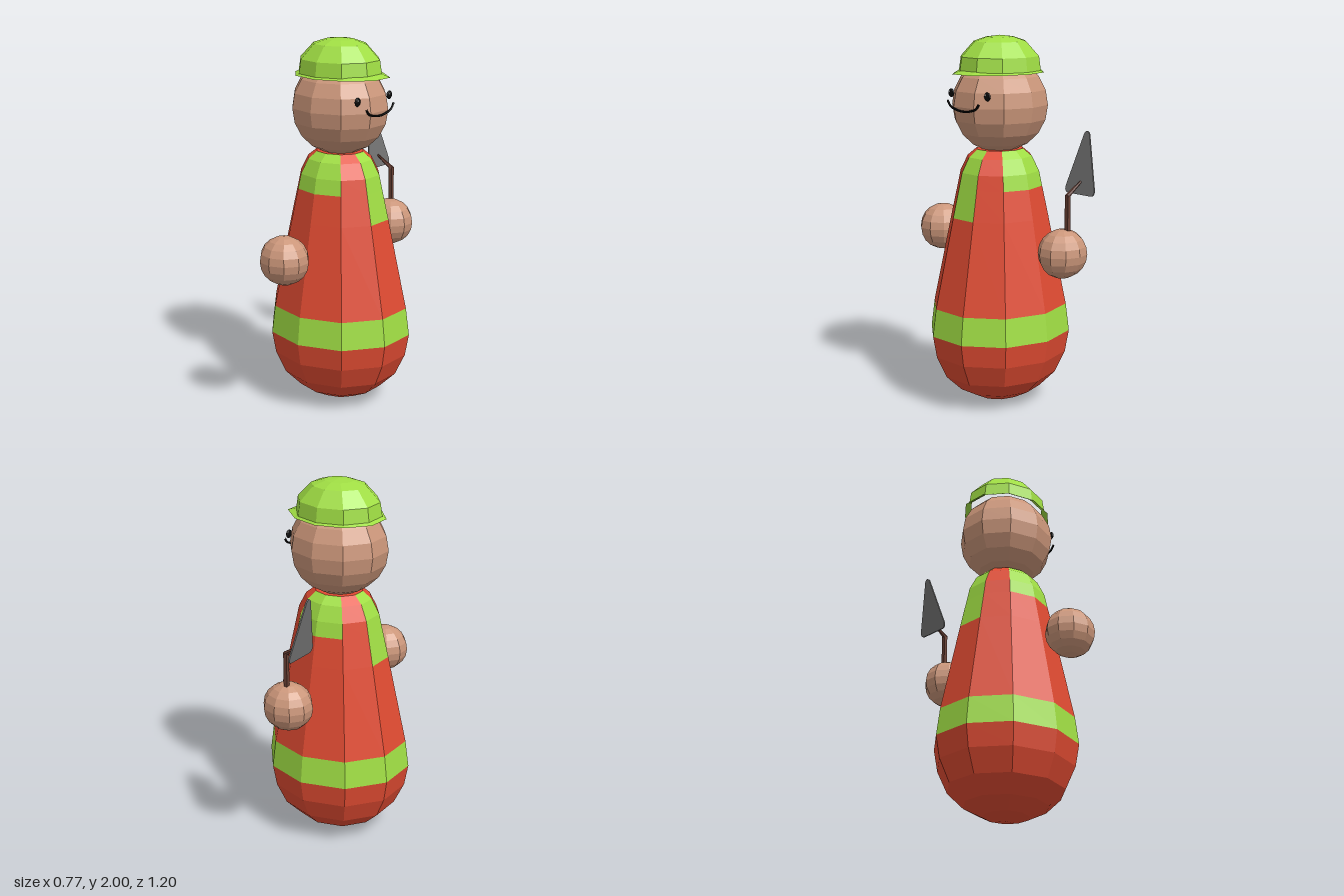
import * as THREE from 'three';

const RED = 0xe04b32, GREEN = 0xa0de44, SKIN = 0xcb967a, BLACK = 0x0a0a0a;
const STEP = Math.PI / 5; // ten-sided body
const WIDE = 1.095;       // slightly wider along x than along z

const material = (color, side = THREE.FrontSide) =>
  new THREE.MeshStandardMaterial({ color, flatShading: true, side });

function add(parent, name, geometry, mat) {
  const mesh = new THREE.Mesh(geometry, mat);
  mesh.name = name;
  parent.add(mesh);
  return mesh;
}

// Faces first..first+count of a ten-sided turned shape; profile runs upward
function turned(profile, first = 0, count = 10, wide = WIDE) {
  const points = profile.map(([r, y]) => new THREE.Vector2(r, y));
  return new THREE.LatheGeometry(points, count, first * STEP, count * STEP).scale(wide, 1, 1);
}

// Low-poly ball with corners on the z axis and flats facing x
function ball(r, ry) {
  return new THREE.SphereGeometry(r, 10, 10).rotateY(Math.PI / 2).scale(1.085, ry / r, 1);
}

export function createModel() {
  const model = new THREE.Group();
  model.name = 'figure';
  const red = material(RED), green = material(GREEN), skin = material(SKIN);
  const black = material(BLACK);

  // Rounded base, hem band and coat
  add(model, 'base', turned([[0, 0], [0.115, 0.022], [0.215, 0.075], [0.298, 0.16],
    [0.35, 0.28], [0.37, 0.4]]), red);
  add(model, 'hemBand', turned([[0.37, 0.4], [0.352, 0.55]]), green);
  add(model, 'coat', turned([[0.352, 0.55], [0.255, 1.04]]), red);

  // Upper coat: long stripes on the x faces, shoulder patches on the z faces
  const chest = [[0.255, 1.04], [0.222, 1.2]];
  const shoulder = [[0.222, 1.2], [0.206, 1.28], [0.168, 1.36], [0.122, 1.4]];
  const upper = [...chest, ...shoulder.slice(1)];
  for (const [side, start] of [['left', 0], ['right', 5]]) {
    add(model, side + 'Stripe', turned(upper, start + 2, 1), green);
    add(model, side + 'CoatPanelA', turned(upper, start + 1, 1), red);
    add(model, side + 'CoatPanelB', turned(upper, start + 3, 1), red);
    add(model, side + 'ChestPanel', turned(chest, start - 1, 2), red);
    add(model, side + 'ShoulderPatch', turned(shoulder, start - 1, 2), green);
  }
  add(model, 'neckCap', turned([[0.122, 1.4], [0, 1.4]]), red);

  // Head and floating hands
  add(model, 'head', ball(0.25, 0.255), skin).position.y = 1.635;
  for (const s of [1, -1]) {
    add(model, s > 0 ? 'frontHand' : 'backHand', ball(0.125, 0.13), skin)
      .position.set(0, 0.9, s * 0.473);
  }

  // Cap with a brim pulled forward into a visor
  add(model, 'cap', turned([[0.208, 1.815], [0.198, 1.89], [0.132, 1.968],
    [0.07, 1.991], [0, 2]], 0, 10, 1.14), green);
  const brim = turned([[0.222, 1.805], [0.19, 1.825]], 0, 10, 1.17);
  const pos = brim.attributes.position;
  for (let i = 0; i < pos.count; i++) {
    if (pos.getY(i) < 1.81 && pos.getX(i) > 0.2) pos.setX(i, 0.275);
  }
  add(model, 'brim', brim, material(GREEN, THREE.DoubleSide));

  // Face, looking along +x
  const smile = new THREE.CatmullRomCurve3([[1.665, 0.122], [1.637, 0.1], [1.62, 0.05],
    [1.615, 0], [1.62, -0.05], [1.637, -0.1], [1.665, -0.122]]
    .map(([y, z]) => new THREE.Vector3(0.26, y, z)));
  add(model, 'mouth', new THREE.TubeGeometry(smile, 24, 0.006, 6), black);
  for (const s of [1, -1]) {
    const eye = new THREE.Group();
    eye.name = s > 0 ? 'rightEye' : 'leftEye';
    eye.position.set(0.219, 1.7, s * 0.14);
    add(eye, 'pupil', new THREE.SphereGeometry(0.022, 12, 8).scale(0.4, 1.05, 1), black);
    add(eye, 'glint', new THREE.SphereGeometry(0.005, 6, 4), material(0xffffff))
      .position.set(0.008, 0.008, 0.006);
    model.add(eye);
  }

  // Trowel: upright handle, bent neck and a rounded triangular blade
  const trowel = new THREE.Group();
  trowel.name = 'trowel';
  trowel.position.z = -0.497;
  const wood = material(0x683f33);
  add(trowel, 'handle', new THREE.BoxGeometry(0.02, 0.26, 0.022), wood).position.set(-0.01, 1.08, 0);
  const neck = new THREE.CylinderGeometry(0.006, 0.013, 0.12, 6);
  const neckMesh = add(trowel, 'neck', neck, wood);
  neckMesh.position.set(-0.055, 1.235, 0);
  neckMesh.rotation.z = 1.0;

  const shape = new THREE.Shape();
  shape.moveTo(-0.08, 0);
  shape.lineTo(0.08, 0);
  shape.quadraticCurveTo(0.108, 0.005, 0.098, 0.04);
  shape.lineTo(0.018, 0.315);
  shape.quadraticCurveTo(0, 0.345, -0.018, 0.315);
  shape.lineTo(-0.098, 0.04);
  shape.quadraticCurveTo(-0.108, 0.005, -0.08, 0);
  const blade = new THREE.ExtrudeGeometry(shape, { depth: 0.008, bevelEnabled: false, curveSegments: 5 })
    .rotateY(Math.PI / 2).rotateZ(0.17);
  add(trowel, 'blade', blade, material(0x737373)).position.set(-0.1, 1.2, 0);
  model.add(trowel);

  return model;
}
